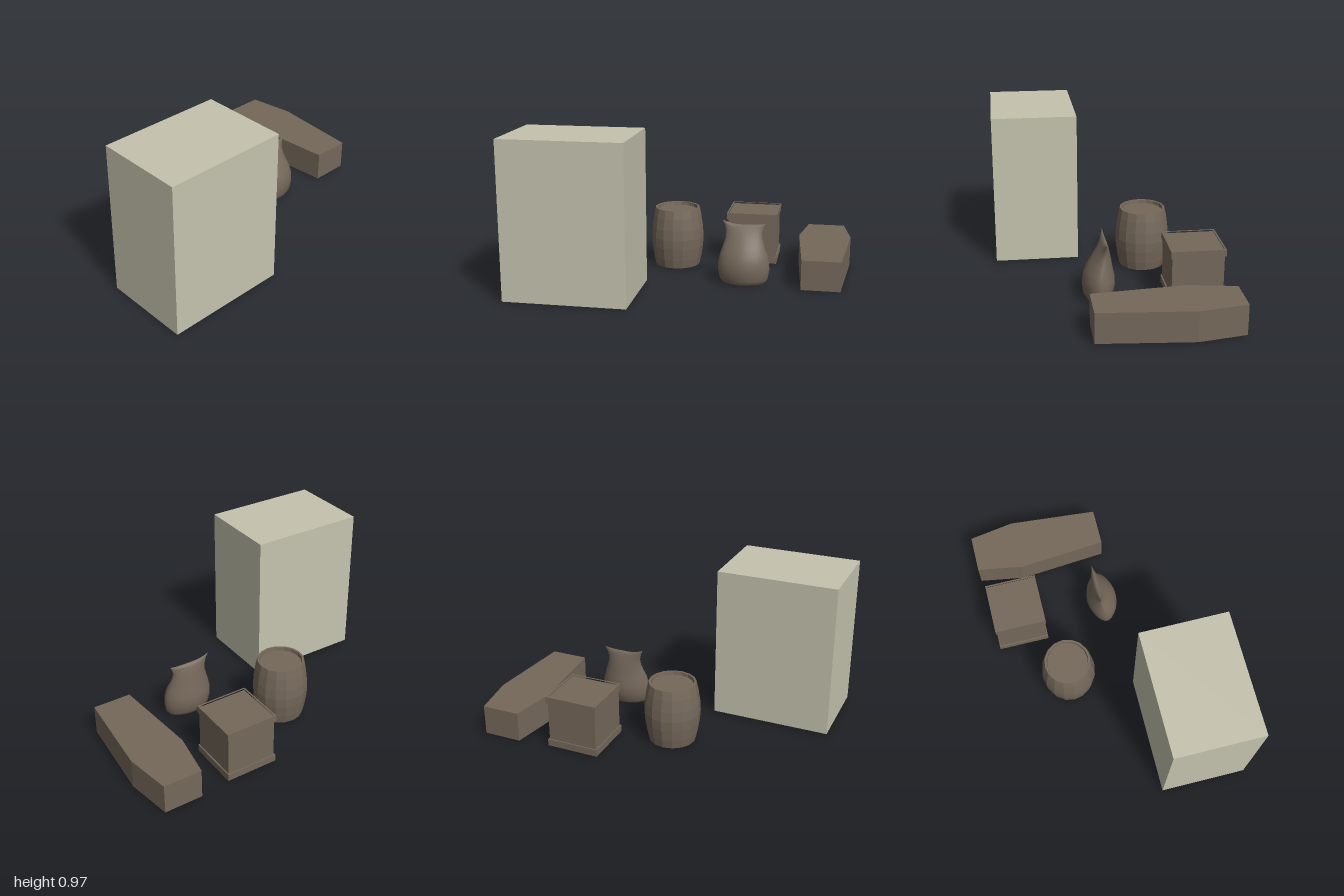
import * as THREE from 'three';

const stone = new THREE.MeshStandardMaterial({ color: 0xc5c3ae });
stone.name = 'pale stone';
const wood = new THREE.MeshStandardMaterial({ color: 0x75685a });
wood.name = 'brown';

const BASE = 0.006;

function add(parent, name, geometry, material, x = 0, y = 0, z = 0) {
  const mesh = new THREE.Mesh(geometry, material);
  mesh.name = name;
  mesh.position.set(x, y, z);
  parent.add(mesh);
  return mesh;
}

// Gives every triangle its own flat normal
function faceted(geometry) {
  const flat = geometry.toNonIndexed();
  flat.computeVertexNormals();
  return flat;
}

// Extrudes a plan outline ([x, z] points) upwards from y = 0
function slab(outline, height, hole) {
  const toVec = ([x, z]) => new THREE.Vector2(x, -z);
  const shape = new THREE.Shape(outline.map(toVec));
  if (hole) shape.holes.push(new THREE.Path(hole.map(toVec)));
  const g = new THREE.ExtrudeGeometry(shape, { depth: height, bevelEnabled: false });
  return g.rotateX(-Math.PI / 2);
}

const square = (h) => [[-h, -h], [h, -h], [h, h], [-h, h]];

// Bulging barrel of sixteen staves with recessed heads
function barrelGeometry() {
  const profile = [
    [0, 0.022], [0.13, 0.022], [0.133, 0], [0.146, 0], [0.158, 0.055], [0.169, 0.13],
    [0.173, 0.192], [0.169, 0.255], [0.158, 0.33], [0.146, 0.384], [0.133, 0.384],
    [0.13, 0.362], [0, 0.362],
  ].map(([r, y]) => new THREE.Vector2(r, y));
  return faceted(new THREE.LatheGeometry(profile, 16));
}

// Sack lofted through oval sections, pinched to a flared ridge at the top
function sackGeometry() {
  // height, centre x, half width, centre z, half depth
  const rows = [
    [0.004, 0.355, 0.0, 0.085, 0.0], [0.0, 0.355, 0.10, 0.085, 0.05],
    [0.008, 0.354, 0.13, 0.085, 0.072], [0.035, 0.352, 0.151, 0.083, 0.089],
    [0.09, 0.351, 0.161, 0.081, 0.100], [0.14, 0.351, 0.159, 0.079, 0.097],
    [0.19, 0.35, 0.147, 0.077, 0.083], [0.24, 0.349, 0.129, 0.066, 0.064],
    [0.285, 0.349, 0.116, 0.057, 0.046], [0.32, 0.349, 0.114, 0.050, 0.031],
    [0.35, 0.349, 0.124, 0.046, 0.018], [0.365, 0.348, 0.135, 0.045, 0.010],
    [0.369, 0.348, 0.135, 0.045, 0.0],
  ];
  const N = 28;
  const pos = [], index = [];
  const oval = (v) => Math.sign(v) * Math.abs(v) ** 1.1;
  rows.forEach(([y, cx, hw, cz, hd]) => {
    const lift = Math.max(0, (y - 0.3) / 0.069);
    for (let i = 0; i < N; i++) {
      const a = (i / N) * Math.PI * 2;
      const u = oval(Math.cos(a));
      const ears = lift * (u < 0 ? 0.027 : 0.01) * Math.abs(u) ** 3;
      pos.push(cx + hw * u, y + ears, cz + hd * oval(Math.sin(a)));
    }
  });
  for (let r = 0; r < rows.length - 1; r++) {
    for (let i = 0; i < N; i++) {
      const a = r * N + i, b = r * N + ((i + 1) % N);
      index.push(a, a + N, b, b, a + N, b + N);
    }
  }
  const g = new THREE.BufferGeometry();
  g.setAttribute('position', new THREE.Float32BufferAttribute(pos, 3));
  g.setIndex(index);
  g.computeVertexNormals();
  return g;
}

export function createModel() {
  const model = new THREE.Group();
  model.name = 'storageProps';

  // Tall plain block
  add(model, 'tallBlock', new THREE.BoxGeometry(0.75, 0.966, 0.54), stone,
    -0.625, BASE + 0.483, 0.418);

  // Barrel
  add(model, 'barrel', barrelGeometry(), wood, -0.13, BASE, -0.26);

  // Crate with framed top and bottom
  const crate = new THREE.Group();
  crate.name = 'crate';
  crate.position.set(0.354, BASE, -0.497);
  model.add(crate);
  add(crate, 'crateBody', new THREE.BoxGeometry(0.315, 0.315, 0.315), wood, 0, 0.167, 0);
  for (const [name, y] of [['crateBottomFrame', 0], ['crateTopFrame', 0.29]]) {
    add(crate, name, slab(square(0.166), 0.044, square(0.155)), wood, 0, y, 0);
  }

  // Six-sided coffin, widest at the shoulders
  const half = [[0.12, -0.43], [0.168, -0.14], [0.12, 0.43]];
  const outline = [...half, ...half.map(([x, z]) => [-x, z]).reverse()];
  add(model, 'coffin', slab(outline, 0.188), wood, 0.832, BASE, -0.259);

  // Sack
  add(model, 'sack', sackGeometry(), wood);

  return model;
}
